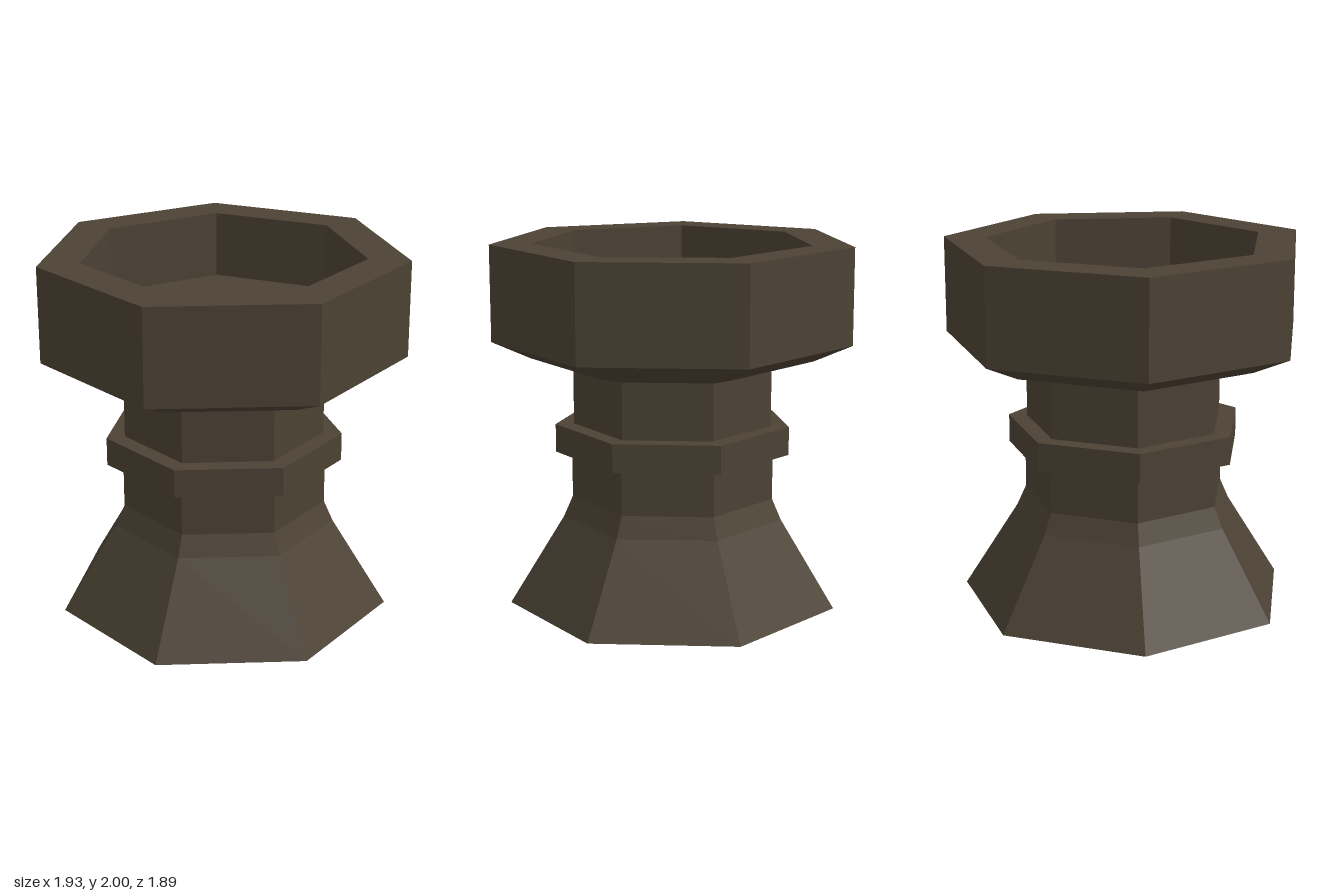
import * as THREE from 'three';

const SIDES = 7;

export function createModel() {
  const group = new THREE.Group();
  group.name = 'pedestalBowl';

  const stone = new THREE.MeshStandardMaterial({ color: 0x4c4234, flatShading: true });
  stone.name = 'dark brown stone';

  // Seven-sided ring built from a [radius, height] profile, one corner at the back
  function turned(name, profile) {
    const points = profile.map(([r, y]) => new THREE.Vector2(r, y));
    const mesh = new THREE.Mesh(new THREE.LatheGeometry(points, SIDES, Math.PI), stone);
    mesh.name = name;
    mesh.position.z = 0.049; // centres the heptagon's bounds
    group.add(mesh);
  }

  // Flared foot with a closed underside
  turned('foot', [[0, 0], [0.918, 0], [0.615, 0.485], [0.564, 0.6]]);

  // Stem below and above the collar
  turned('lowerStem', [[0.564, 0.6], [0.564, 0.855]]);
  turned('collar', [[0.564, 0.855], [0.653, 0.855], [0.653, 1.01], [0.552, 1.01]]);
  turned('upperStem', [[0.552, 1.01], [0.552, 1.32]]);

  // Bowl: bevelled underside, straight wall, flat rim and sunken floor
  turned('bowl', [
    [0.552, 1.32], [0.782, 1.38], [0.992, 1.475], [0.992, 2],
    [0.765, 2], [0.765, 1.635], [0, 1.635],
  ]);

  return group;
}
